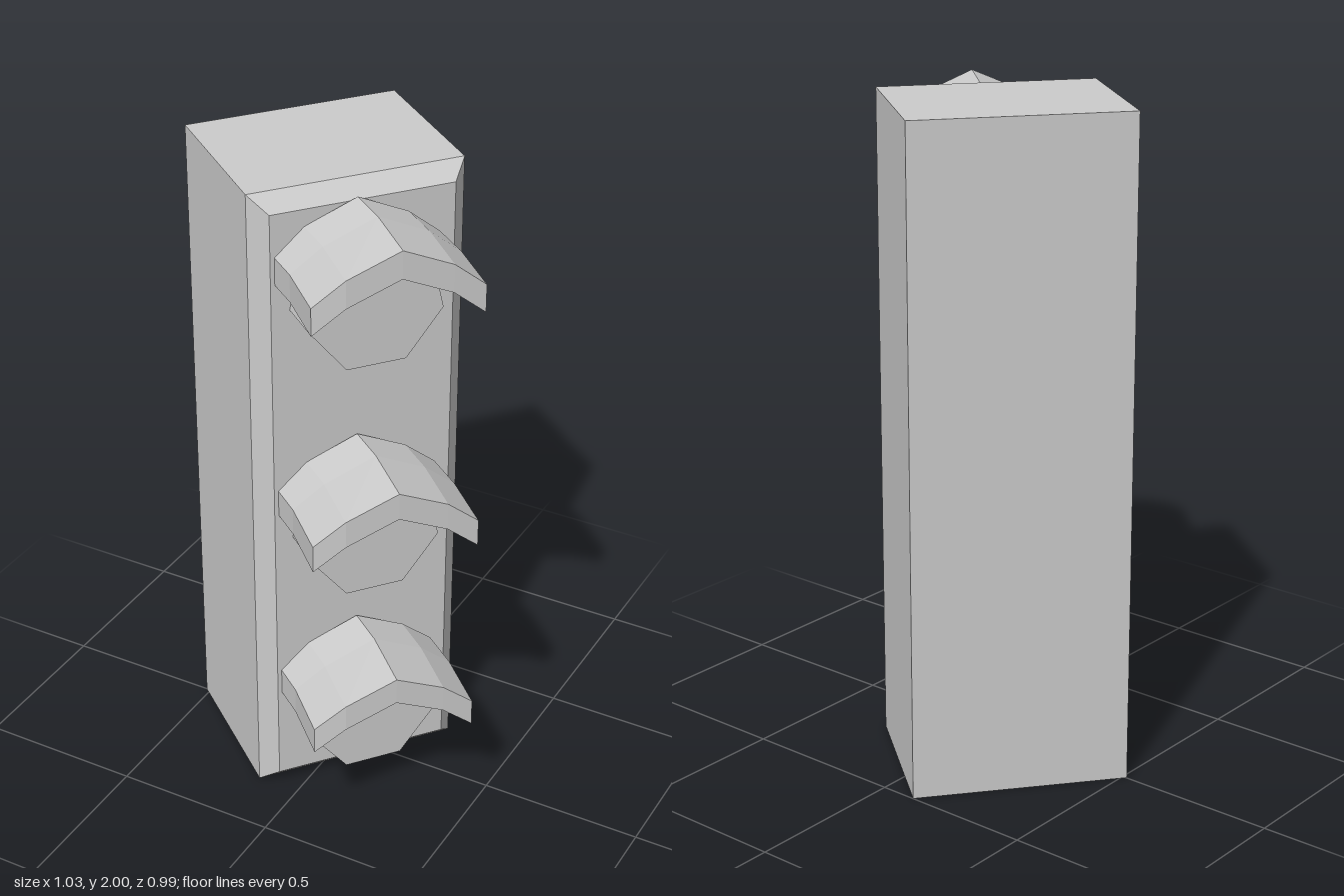
import * as THREE from 'three';

const material = new THREE.MeshStandardMaterial({ color: 0xcccccc, flatShading: true });

// Moves every vertex of a geometry by a rule, then makes it faceted
function reshape(geometry, rule) {
  const p = geometry.attributes.position;
  const v = new THREE.Vector3();
  for (let i = 0; i < p.count; i++) {
    rule(v.fromBufferAttribute(p, i));
    p.setXYZ(i, v.x, v.y, v.z);
  }
  const faceted = geometry.toNonIndexed();
  faceted.computeVertexNormals();
  return faceted;
}

function part(name, geometry) {
  const mesh = new THREE.Mesh(geometry, material);
  mesh.name = name;
  return mesh;
}

// Tall box with a bevelled front face
function housingGeometry() {
  const back = -0.244, shoulder = 0.244, front = 0.294, bevel = 0.048;
  return reshape(new THREE.BoxGeometry(0.643, 2, 1, 1, 1, 2), (v) => {
    if (v.z > 0.25) {
      v.x -= Math.sign(v.x) * bevel;
      v.y -= Math.sign(v.y) * bevel;
      v.z = front;
    } else {
      v.z = v.z < -0.25 ? back : shoulder;
    }
    v.y += 1;
  });
}

// Arched hood: five points across, three stations from back to front; ridge at y = 0
function visorGeometry() {
  const across = [-0.24, -0.153, 0, 0.146, 0.24];
  const drop = [-0.142, -0.065, 0, -0.065, -0.142];
  const shift = [-0.021, -0.018, -0.036];
  const depth = [
    [0.286, 0.293, 0.302, 0.312, 0.312],
    [0.4, 0.422, 0.432, 0.445, 0.448],
    [0.597, 0.625, 0.641, 0.648, 0.649],
  ];
  const thickness = 0.083;
  return reshape(new THREE.BoxGeometry(4, 1, 2, 4, 1, 2), (v) => {
    const i = Math.round(v.x + 2);
    const k = Math.round(v.z + 1);
    v.set(across[i] + shift[k], drop[i] - (v.y < 0 ? thickness : 0), depth[k][i]);
  });
}

// Seven-sided lens with one corner at the top
function lensGeometry() {
  const geometry = new THREE.CylinderGeometry(0.204, 0.204, 0.146, 7);
  geometry.rotateX(Math.PI / 2);
  geometry.rotateZ(Math.PI);
  // Turn so that a flat side faces down
  const p = geometry.attributes.position;
  let top = 0;
  for (let i = 1; i < p.count; i++) if (p.getY(i) > p.getY(top)) top = i;
  geometry.rotateZ(Math.PI / 2 - Math.atan2(p.getY(top), p.getX(top)));
  return geometry;
}

export function createModel() {
  const model = new THREE.Group();
  model.name = 'signalLight';

  // The whole lamp is turned towards its left
  const lamp = new THREE.Group();
  lamp.name = 'lamp';
  lamp.position.set(-0.122, 0, -0.096);
  lamp.rotation.y = 0.894;
  model.add(lamp);

  lamp.add(part('housing', housingGeometry()));

  // Three hooded lights
  const visor = visorGeometry();
  const lens = lensGeometry();
  [['top', 1.965], ['middle', 1.218], ['bottom', 0.579]].forEach(([name, ridge]) => {
    const hood = part(name + 'Visor', visor);
    hood.position.y = ridge;
    const light = part(name + 'Lens', lens);
    light.position.set(-0.02, ridge - 0.264, 0.363);
    lamp.add(hood, light);
  });

  return model;
}
